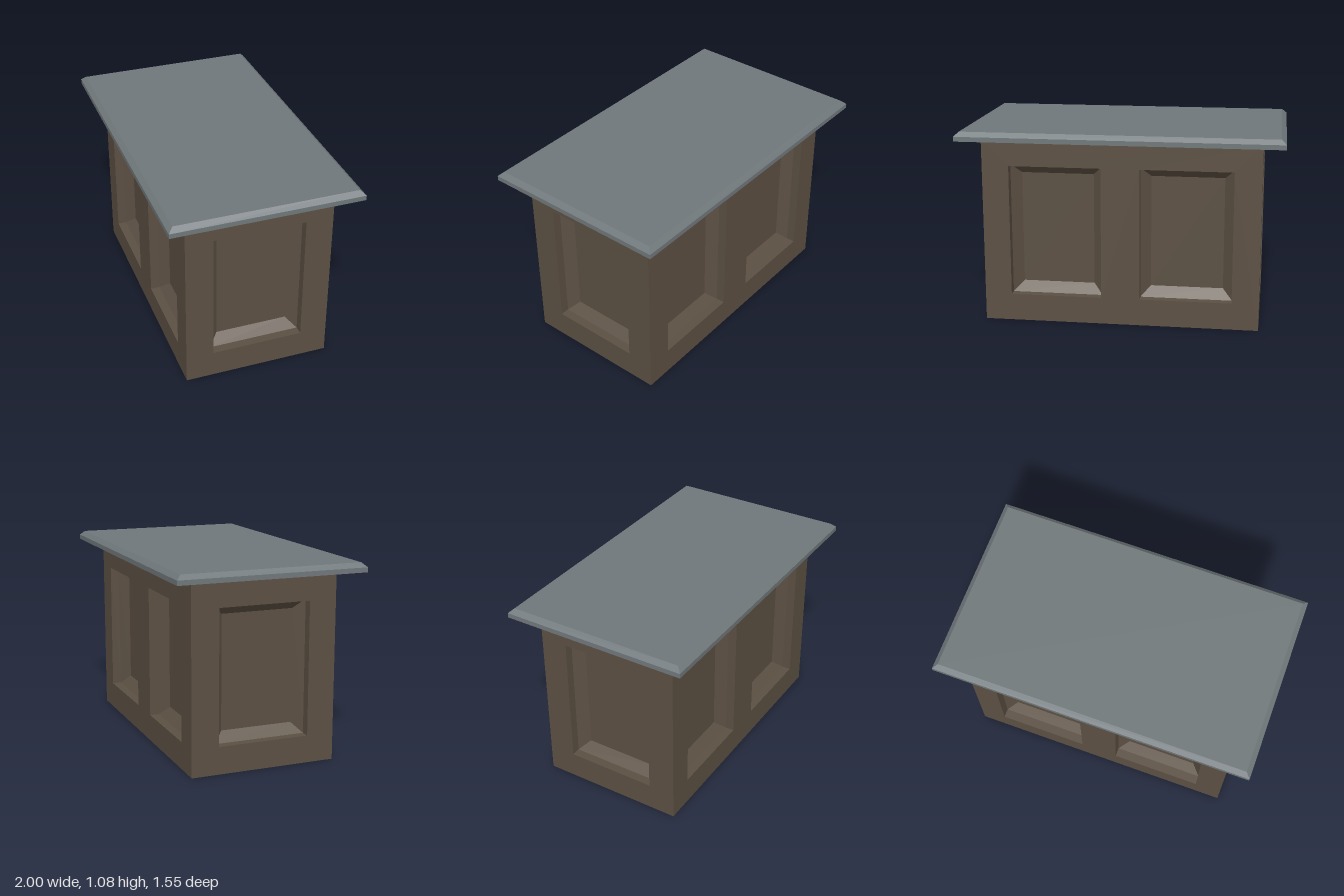
import * as THREE from 'three';

const BODY_W = 1.52, BODY_D = 0.808, BODY_H = 1.03;
const PANEL_W = 0.506, PANEL_H = 0.73, PANEL_Y = 0.515;

// Rectangular rings [halfWidth, halfHeight, z] joined into a flat-faced skin; the last ring is capped.
function loftRects(rings) {
  const corner = ([w, h, z], i) => [
    [-w, -h, z], [w, -h, z], [w, h, z], [-w, h, z],
  ][i % 4];
  const pos = [];
  const quad = (a, b, c, d) => pos.push(...a, ...b, ...c, ...a, ...c, ...d);
  for (let k = 0; k < rings.length - 1; k++) {
    for (let i = 0; i < 4; i++) {
      quad(corner(rings[k], i), corner(rings[k], i + 1), corner(rings[k + 1], i + 1), corner(rings[k + 1], i));
    }
  }
  const last = rings[rings.length - 1];
  quad(corner(last, 0), corner(last, 1), corner(last, 2), corner(last, 3));
  const geo = new THREE.BufferGeometry();
  geo.setAttribute('position', new THREE.Float32BufferAttribute(pos, 3));
  geo.computeVertexNormals();
  return geo;
}

function rectPath(path, x, y, w, h) {
  path.moveTo(x - w / 2, y - h / 2);
  path.lineTo(x + w / 2, y - h / 2);
  path.lineTo(x + w / 2, y + h / 2);
  path.lineTo(x - w / 2, y + h / 2);
  path.closePath();
  return path;
}

export function createModel() {
  const wood = new THREE.MeshStandardMaterial({ color: 0x5c5043 });
  const stone = new THREE.MeshStandardMaterial({ color: 0x70787b });
  const model = new THREE.Group();
  model.name = 'kitchenIsland';

  const add = (parent, name, geo, mat) => {
    const mesh = new THREE.Mesh(geo, mat);
    mesh.name = name;
    parent.add(mesh);
    return mesh;
  };

  // Recessed panel: straight step, then a sloped bevel down to the flat field
  const hw = PANEL_W / 2, hh = PANEL_H / 2, inset = 0.053;
  const panelGeo = loftRects([
    [hw, hh, 0], [hw, hh, -0.05], [hw - inset, hh - inset, -0.1],
  ]);

  // One cabinet side: a framed face with openings and the panels set in them
  function addSide(name, width, distance, angle, panelXs) {
    const side = new THREE.Group();
    side.name = name;
    const shape = rectPath(new THREE.Shape(), 0, BODY_H / 2, width, BODY_H);
    const face = new THREE.Group();
    face.position.z = distance;
    for (const x of panelXs) {
      shape.holes.push(rectPath(new THREE.Path(), x, PANEL_Y, PANEL_W, PANEL_H));
      add(face, 'recessedPanel', panelGeo, wood).position.set(x, PANEL_Y, 0);
    }
    add(face, 'sideFrame', new THREE.ShapeGeometry(shape), wood);
    side.add(face);
    side.rotation.y = angle;
    model.add(side);
  }
  const px = 0.359;
  addSide('frontSide', BODY_W, BODY_D / 2, 0, [-px, px]);
  addSide('backSide', BODY_W, BODY_D / 2, Math.PI, [-px, px]);
  addSide('leftEnd', BODY_D, BODY_W / 2, Math.PI / 2, [0]);
  addSide('rightEnd', BODY_D, BODY_W / 2, -Math.PI / 2, [0]);

  // Cabinet floor
  const base = new THREE.PlaneGeometry(BODY_W, BODY_D).rotateX(Math.PI / 2);
  add(model, 'cabinetBase', base, wood);

  // Countertop slab with a chamfered upper edge
  const tw = 1.757 / 2, td = 1.04 / 2, chamfer = 0.026;
  const topGeo = loftRects([
    [0, 0, 0], [tw, td, 0], [tw, td, 0.026], [tw - chamfer, td - chamfer, 0.05],
  ]).rotateX(-Math.PI / 2);
  add(model, 'countertop', topGeo, stone).position.y = BODY_H;

  // The whole island stands at an angle to the axes
  model.rotation.y = THREE.MathUtils.degToRad(-18.6);
  const root = new THREE.Group();
  root.name = 'island';
  root.add(model);
  return root;
}
